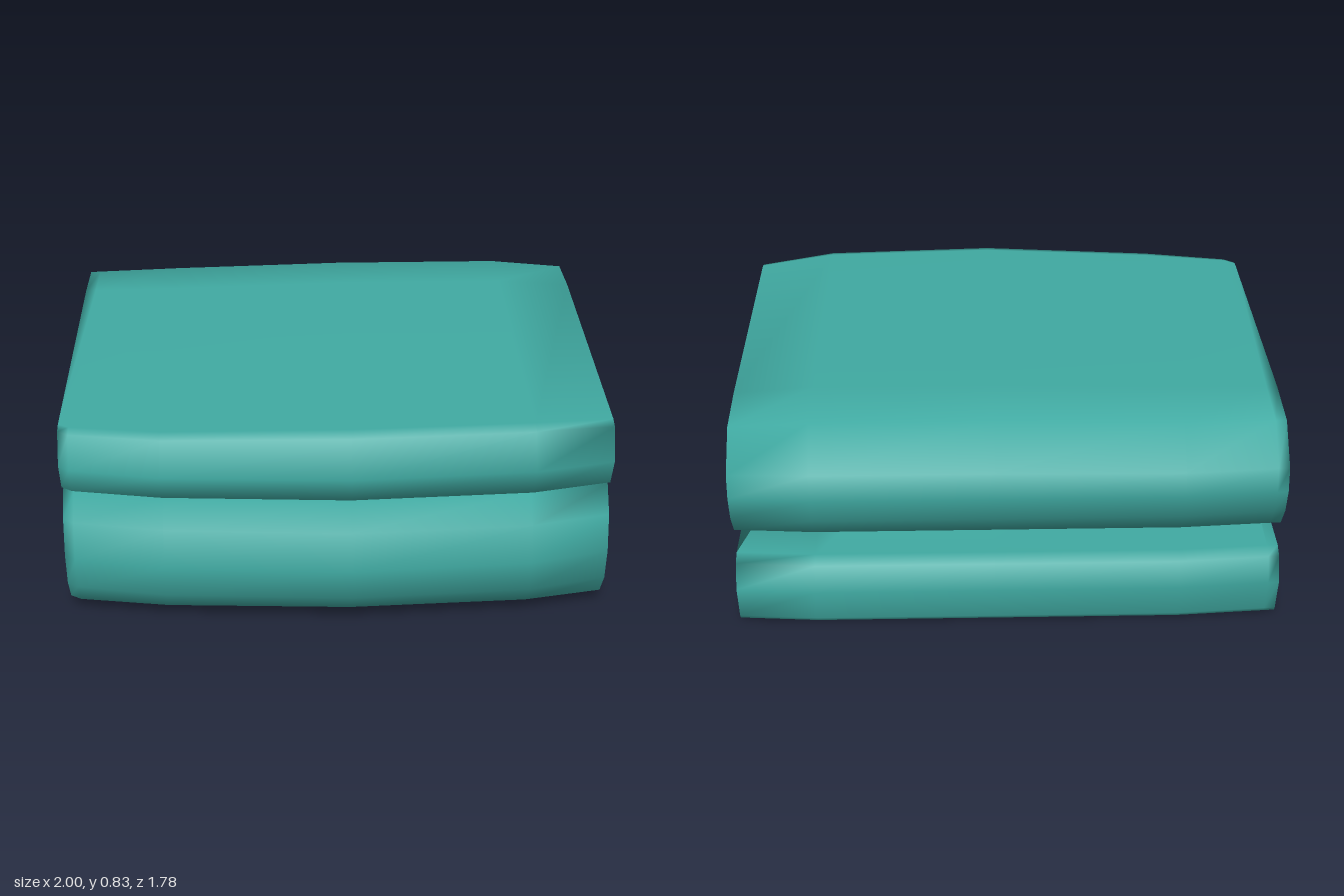
import * as THREE from 'three';

// Side outline of the cloth folded in three, as [z, y], counter-clockwise
const outline = [
  [-0.78, 0], [0.59, 0], [0.77, 0.05], [0.865, 0.15], [0.895, 0.28], [0.86, 0.42], [0.765, 0.51],
  [0.3, 0.537], [-0.54, 0.572], // upper crease
  [0.3, 0.545], [0.77, 0.525], [0.825, 0.54], [0.895, 0.66], [0.83, 0.79], [0.78, 0.803],
  [-0.49, 0.828], [-0.74, 0.815], [-0.88, 0.68], [-0.89, 0.58], [-0.86, 0.48], [-0.79, 0.39], [-0.57, 0.33],
  [0.46, 0.257], // lower crease
  [-0.77, 0.28], [-0.82, 0.26], [-0.86, 0.17], [-0.82, 0.03], [-0.805, 0.01],
];

// Sections across the width: [x, front pull-in, back pull-in, top drop]
const sections = [
  [-1, 0.15, 0.03, 0.022], [-0.96, 0.115, 0.027, 0.021], [-0.63, 0.045, 0, 0.017],
  [0.05, 0, 0, 0], [0.71, 0.045, 0, 0], [1, 0.125, 0.027, 0.02],
];

// Bulge of the folds: pull the front, back and top in towards the sides
function sectionPoint([z, y], [, front, back, drop]) {
  const f = THREE.MathUtils.clamp((z - 0.4) / 0.5, 0, 1);
  const b = THREE.MathUtils.clamp((-z - 0.5) / 0.35, 0, 1);
  const t = THREE.MathUtils.clamp((y - 0.6) / 0.2, 0, 1);
  return [z - front * f + back * b, y - drop * t];
}

function foldedCloth() {
  const n = outline.length, last = sections.length - 1;
  const pos = [], index = [];
  for (const s of sections) {
    for (const p of outline) {
      const [z, y] = sectionPoint(p, s);
      pos.push(s[0], y, z);
    }
  }
  // Skin between the sections
  for (let i = 0; i < last; i++) {
    for (let j = 0; j < n; j++) {
      const a = i * n + j, b = i * n + (j + 1) % n;
      index.push(a, b + n, b, a, a + n, b + n);
    }
  }
  // Ends share the rim vertices so the edges shade softly
  for (const i of [0, last]) {
    const contour = outline.map(p => new THREE.Vector2(...sectionPoint(p, sections[i])));
    for (const [a, b, c] of THREE.ShapeUtils.triangulateShape(contour, [])) {
      const o = i * n;
      if (i === 0) index.push(o + a, o + b, o + c);
      else index.push(o + a, o + c, o + b);
    }
  }
  const geo = new THREE.BufferGeometry();
  geo.setAttribute('position', new THREE.Float32BufferAttribute(pos, 3));
  geo.setIndex(index);
  geo.computeVertexNormals();
  return geo;
}

export function createModel() {
  const group = new THREE.Group();
  group.name = 'foldedTowel';
  const cloth = new THREE.Mesh(foldedCloth(), new THREE.MeshStandardMaterial({ color: 0x40aaa2 }));
  cloth.name = 'foldedCloth';
  group.add(cloth);
  return group;
}
